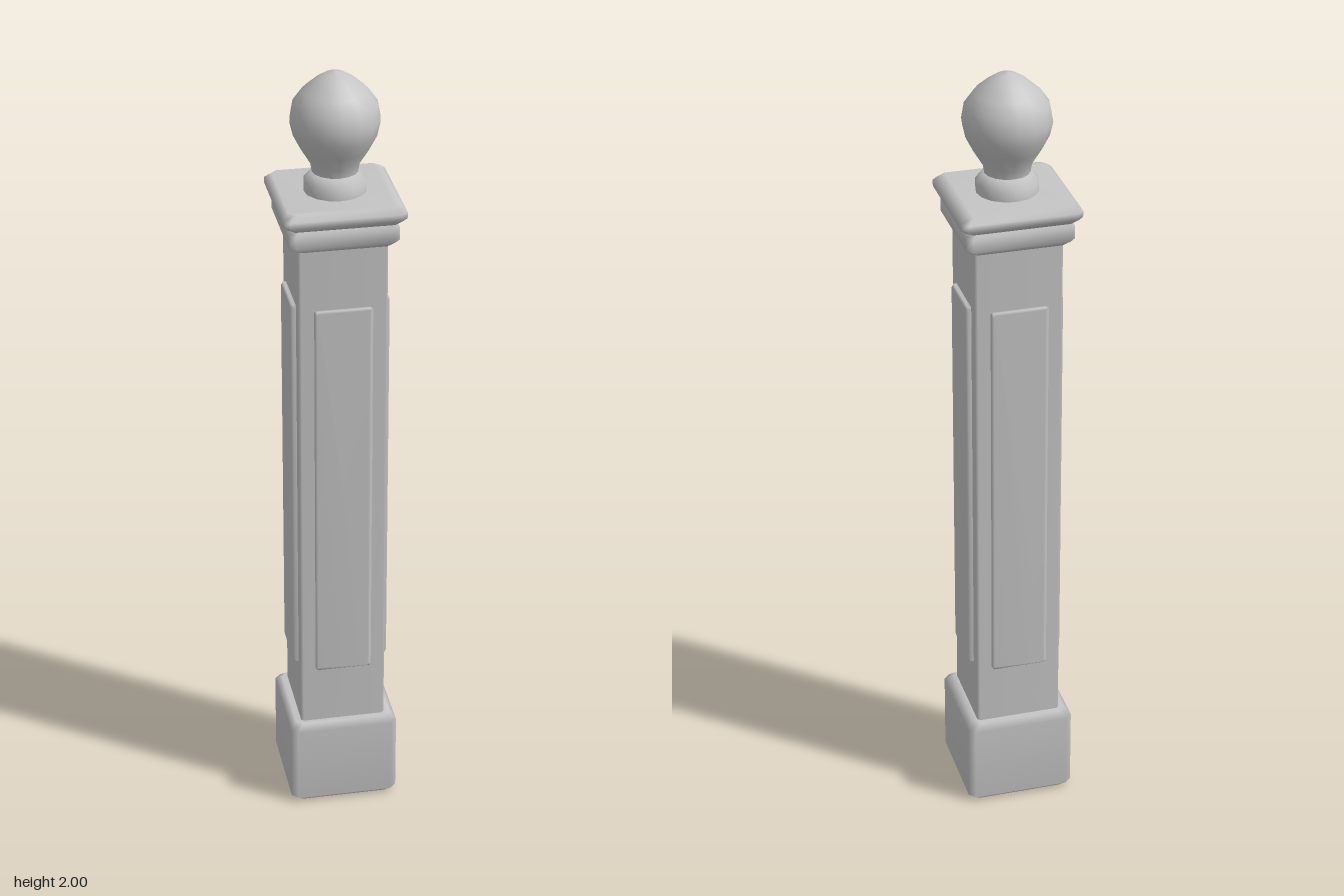
import * as THREE from 'three';

const stone = new THREE.MeshStandardMaterial({ color: 0xc4c4c4 });
stone.name = 'grey stone';

// Block with chamfered corners, smooth shaded; each ring is [y, inset]
function bevelBlock(hx, hz, chamfer, rings) {
  const pos = [], idx = [];
  for (const [y, inset] of rings) {
    const x = hx - inset, z = hz - inset, c = chamfer;
    pos.push(
      x - c, y, z, x, y, z - c, x, y, -z + c, x - c, y, -z,
      -x + c, y, -z, -x, y, -z + c, -x, y, z - c, -x + c, y, z
    );
  }
  for (let r = 0; r < rings.length - 1; r++) {
    for (let i = 0; i < 8; i++) {
      const a = r * 8 + i, b = r * 8 + (i + 1) % 8;
      idx.push(a, b, b + 8, a, b + 8, a + 8);
    }
  }
  const top = (rings.length - 1) * 8;
  for (let i = 1; i < 7; i++) {
    idx.push(0, i + 1, i, top, top + i, top + i + 1);
  }
  const geo = new THREE.BufferGeometry();
  geo.setAttribute('position', new THREE.Float32BufferAttribute(pos, 3));
  geo.setIndex(idx);
  geo.computeVertexNormals();
  return geo;
}

// Square block between two heights with bevelled top and bottom edges
function squareBlock(half, y0, y1, bevel) {
  return bevelBlock(half, half, bevel, [[y0, bevel], [y0 + bevel, 0], [y1 - bevel, 0], [y1, bevel]]);
}

function turned(points) {
  return new THREE.LatheGeometry(points.map(([r, y]) => new THREE.Vector2(r, y)), 16);
}

export function createModel() {
  const model = new THREE.Group();
  model.name = 'newelPost';
  const add = (name, geometry, parent = model) => {
    const mesh = new THREE.Mesh(geometry, stone);
    mesh.name = name;
    parent.add(mesh);
    return mesh;
  };

  // Plinth, shaft and the two cap mouldings
  add('plinth', squareBlock(0.14, 0, 0.24, 0.016));
  add('shaft', squareBlock(0.11, 0.235, 1.6, 0.006));
  add('lowerMoulding', squareBlock(0.135, 1.593, 1.656, 0.015));
  add('capSlab', squareBlock(0.15, 1.654, 1.7, 0.015));

  // Raised panel on each of the four faces
  const panelGeo = bevelBlock(0.072, 0.516, 0.005, [[0.1, 0], [0.118, 0], [0.123, 0.005]]);
  const panels = new THREE.Group();
  panels.name = 'panels';
  model.add(panels);
  for (let i = 0; i < 4; i++) {
    const side = new THREE.Group();
    side.name = 'panelSide';
    side.rotation.y = i * Math.PI / 2;
    const panel = add('raisedPanel', panelGeo, side);
    panel.rotation.x = Math.PI / 2;
    panel.position.y = 0.916;
    panels.add(side);
  }

  // Turned collar and bulb finial
  add('collar', turned([[0.077, 1.695], [0.077, 1.727], [0.056, 1.75], [0, 1.752]]));
  add('finial', turned([
    [0.056, 1.745], [0.06, 1.77], [0.083, 1.808], [0.102, 1.845], [0.11, 1.88],
    [0.103, 1.92], [0.08, 1.952], [0.05, 1.978], [0.025, 1.994], [0, 2]
  ]));

  return model;
}
